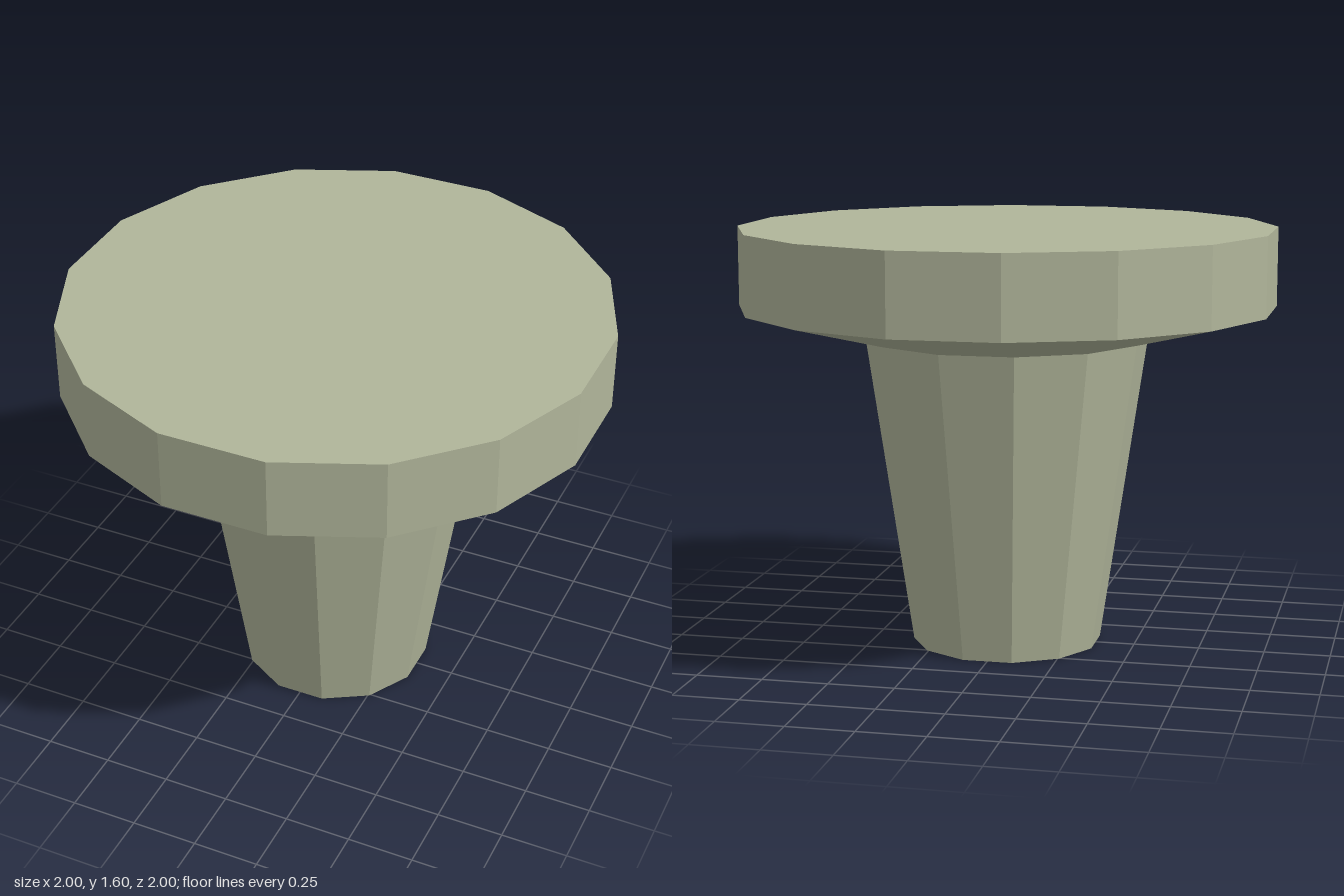
import * as THREE from 'three';

const HEAD_SIDES = 16, STEM_SIDES = 12;
const TOP_Y = 1.6, RIM_Y = 1.3, NECK_Y = 1.18;
// radius of a polygon's corners from the distance to its flat sides
const corner = (flat, sides) => flat / Math.cos(Math.PI / sides);
const headR = corner(1, HEAD_SIDES);
const neckR = corner(0.52, STEM_SIDES), footR = corner(0.35, STEM_SIDES);

// open prism or cone with a flat side facing the front
function wall(rTop, rBottom, y0, y1, sides) {
  return new THREE.CylinderGeometry(rTop, rBottom, y1 - y0, sides, 1, true, Math.PI / sides)
    .translate(0, (y0 + y1) / 2, 0);
}

// flat end polygon, facing up (dir 1) or down (dir -1)
function cap(r, y, sides, dir) {
  return new THREE.CircleGeometry(r, sides, Math.PI / sides)
    .rotateX(-dir * Math.PI / 2).translate(0, y, 0);
}

// shallow underside joining the 16-sided rim to the 12-sided neck
function undersideGeometry() {
  const point = (r, y, k, sides) => {
    const a = (k - 0.5) * Math.PI * 2 / sides;
    return [r * Math.cos(a), y, r * Math.sin(a)];
  };
  const rim = (k) => point(headR, RIM_Y, k, HEAD_SIDES);
  const neck = (k) => point(neckR, NECK_Y, k, STEM_SIDES);
  const pos = [];
  let i = 0, j = 0;
  while (i < HEAD_SIDES || j < STEM_SIDES) {
    // step along whichever ring has the nearer edge
    if (j >= STEM_SIDES || (i < HEAD_SIDES && i * STEM_SIDES <= j * HEAD_SIDES)) {
      pos.push(...rim(i), ...rim(i + 1), ...neck(j));
      i++;
    } else {
      pos.push(...rim(i), ...neck(j + 1), ...neck(j));
      j++;
    }
  }
  const g = new THREE.BufferGeometry();
  g.setAttribute('position', new THREE.Float32BufferAttribute(pos, 3));
  g.computeVertexNormals();
  return g;
}

export function createModel() {
  const model = new THREE.Group();
  model.name = 'pedestal';
  const material = new THREE.MeshStandardMaterial({ color: 0xb0b59a, flatShading: true });
  const add = (name, geometry) => {
    const mesh = new THREE.Mesh(geometry, material);
    mesh.name = name;
    model.add(mesh);
  };

  // wide flat head
  add('headTop', cap(headR, TOP_Y, HEAD_SIDES, 1));
  add('headRim', wall(headR, headR, RIM_Y, TOP_Y, HEAD_SIDES));
  add('headUnderside', undersideGeometry());

  // stem tapering towards the foot
  add('stem', wall(neckR, footR, 0, NECK_Y, STEM_SIDES));
  add('stemBase', cap(footR, 0, STEM_SIDES, -1));
  return model;
}
